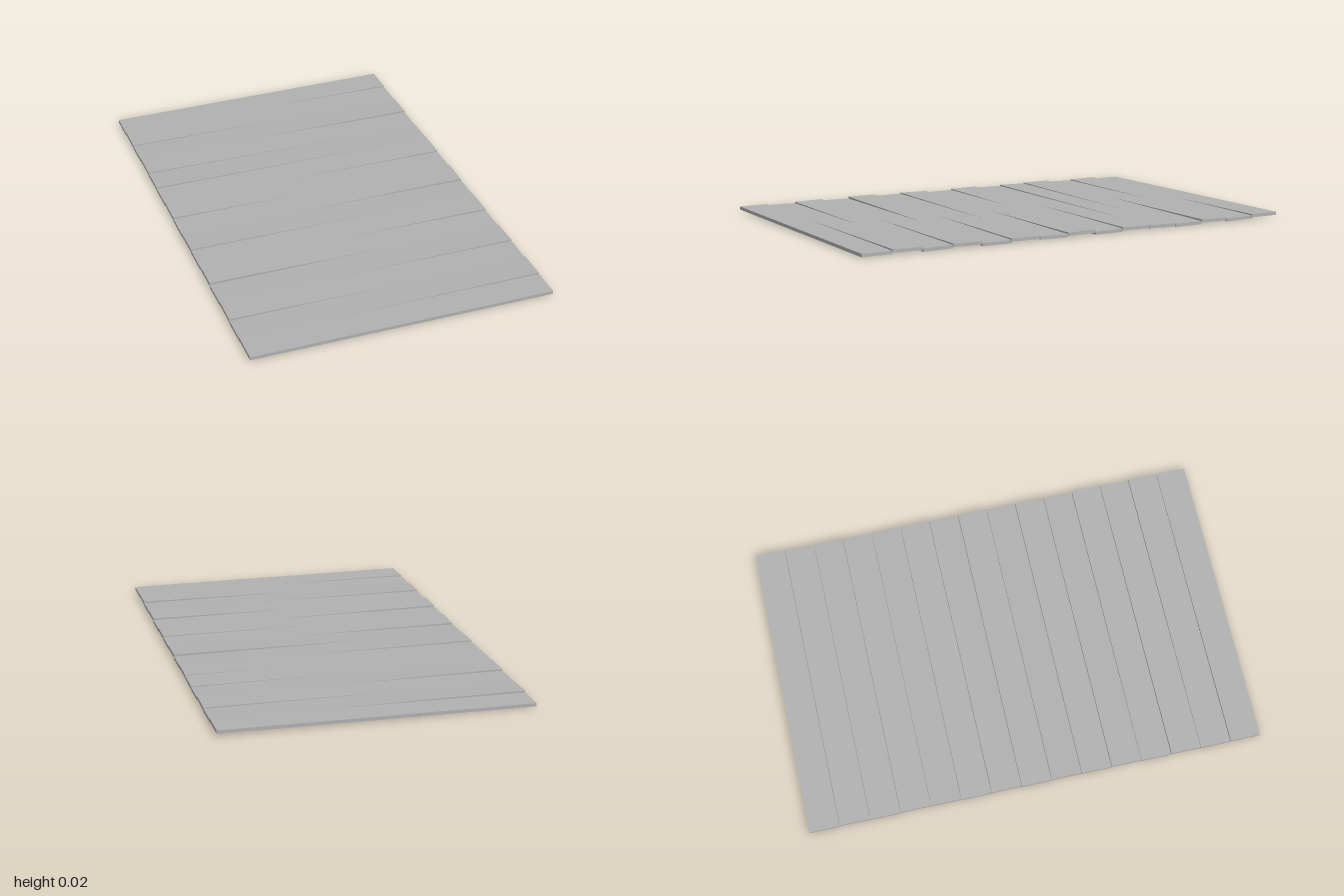
import * as THREE from 'three';

export function createModel() {
  const model = new THREE.Group();
  model.name = 'plankDeck';
  const grey = new THREE.MeshStandardMaterial({ color: 0xb0b0b0 });
  grey.name = 'plankGrey';

  const count = 15, pitch = 2 / count;
  const length = 1.31, thickness = 0.014, width = 0.131;
  const maxRoll = 0.008, maxPitch = 0.03;

  // Slight unevenness of each board, from -1 to 1: side-to-side and front-to-back
  const roll = [0.9, -0.3, 0.5, -0.8, -0.2, 0.4, -0.6, 0.7, -0.5, 0.3, -0.9, 0.6, -0.4, 0.8, -0.1];
  const tip = [0.2, 0.5, -0.4, 0.3, -0.6, -0.2, 0.4, 0.6, -0.5, 0.3, 0.1, -0.4, 0.6, -0.3, 0.1];

  // Boards run across the deck, laid from back to front
  const board = new THREE.BoxGeometry(length, thickness, width);
  for (let i = 0; i < count; i++) {
    const plank = new THREE.Mesh(board, grey);
    plank.name = `plank${i + 1}`;
    plank.position.set(0, 0.0135, -1 + pitch * (i + 0.5));
    plank.rotation.set(tip[i] * maxPitch, 0, roll[i] * maxRoll);
    model.add(plank);
  }

  // Rest the lowest corner on the ground
  model.updateMatrixWorld(true);
  const low = new THREE.Box3().setFromObject(model, true).min.y;
  model.children.forEach((plank) => { plank.position.y -= low; });
  return model;
}
